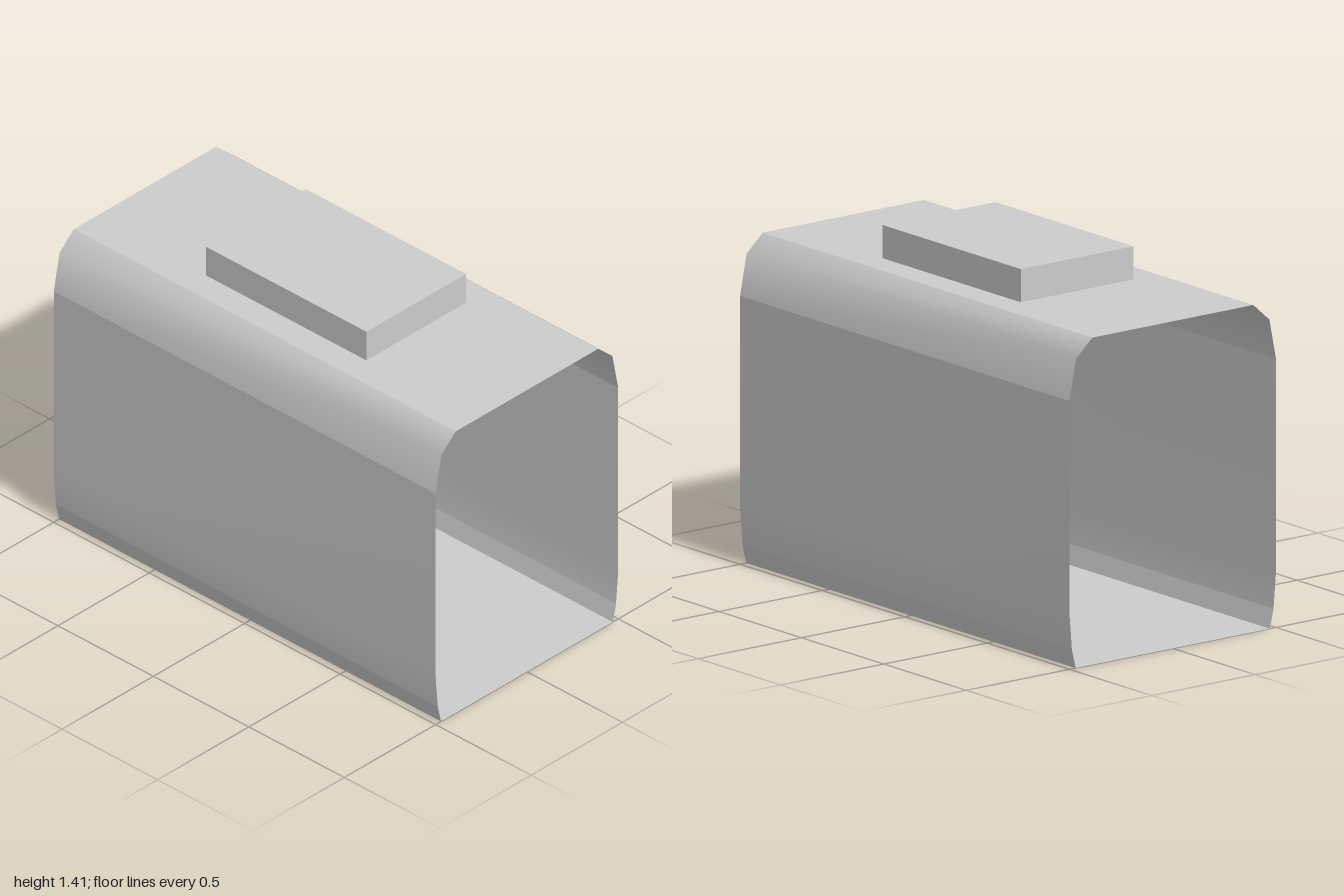
import * as THREE from 'three';

// Sweeps an open cross-section along z; normals are smooth within one strip
function strip(points, halfLength) {
  const pos = [], idx = [];
  for (const [x, y] of points) pos.push(x, y, halfLength, x, y, -halfLength);
  for (let i = 0; i < points.length - 1; i++) {
    const a = i * 2;
    idx.push(a, a + 1, a + 3, a, a + 3, a + 2);
  }
  const g = new THREE.BufferGeometry();
  g.setAttribute('position', new THREE.Float32BufferAttribute(pos, 3));
  g.setIndex(idx);
  g.computeVertexNormals();
  return g;
}

export function createModel() {
  const model = new THREE.Group();
  const grey = new THREE.MeshStandardMaterial({ color: 0xcccccc, side: THREE.DoubleSide });
  grey.name = 'light grey';

  const add = (name, geometry, parent) => {
    const mesh = new THREE.Mesh(geometry, grey);
    mesh.name = name;
    parent.add(mesh);
    return mesh;
  };

  // Open-ended shell
  const shell = new THREE.Group();
  shell.name = 'shell';
  model.add(shell);
  add('floor', strip([[-0.47, 0], [0.47, 0]], 1), shell);
  add('roof', strip([[0.39, 1.28], [-0.39, 1.28]], 1), shell);

  // Side profiles from bottom to top, mirrored for the other side
  const sides = {
    LowerEdge: [[0.47, 0], [0.488, 0.075]],
    Wall: [[0.488, 0.075], [0.5, 0.22], [0.5, 1.05]],
    Shoulder: [[0.5, 1.05], [0.468, 1.21], [0.39, 1.28]],
  };
  for (const [name, points] of Object.entries(sides)) {
    add('left' + name, strip(points, 1), shell);
    const mirrored = points.map(([x, y]) => [-x, y]).reverse();
    add('right' + name, strip(mirrored, 1), shell);
  }

  // Raised block on the roof
  add('roofBlock', new THREE.BoxGeometry(0.546, 0.13, 0.84), model).position.y = 1.345;

  return model;
}
